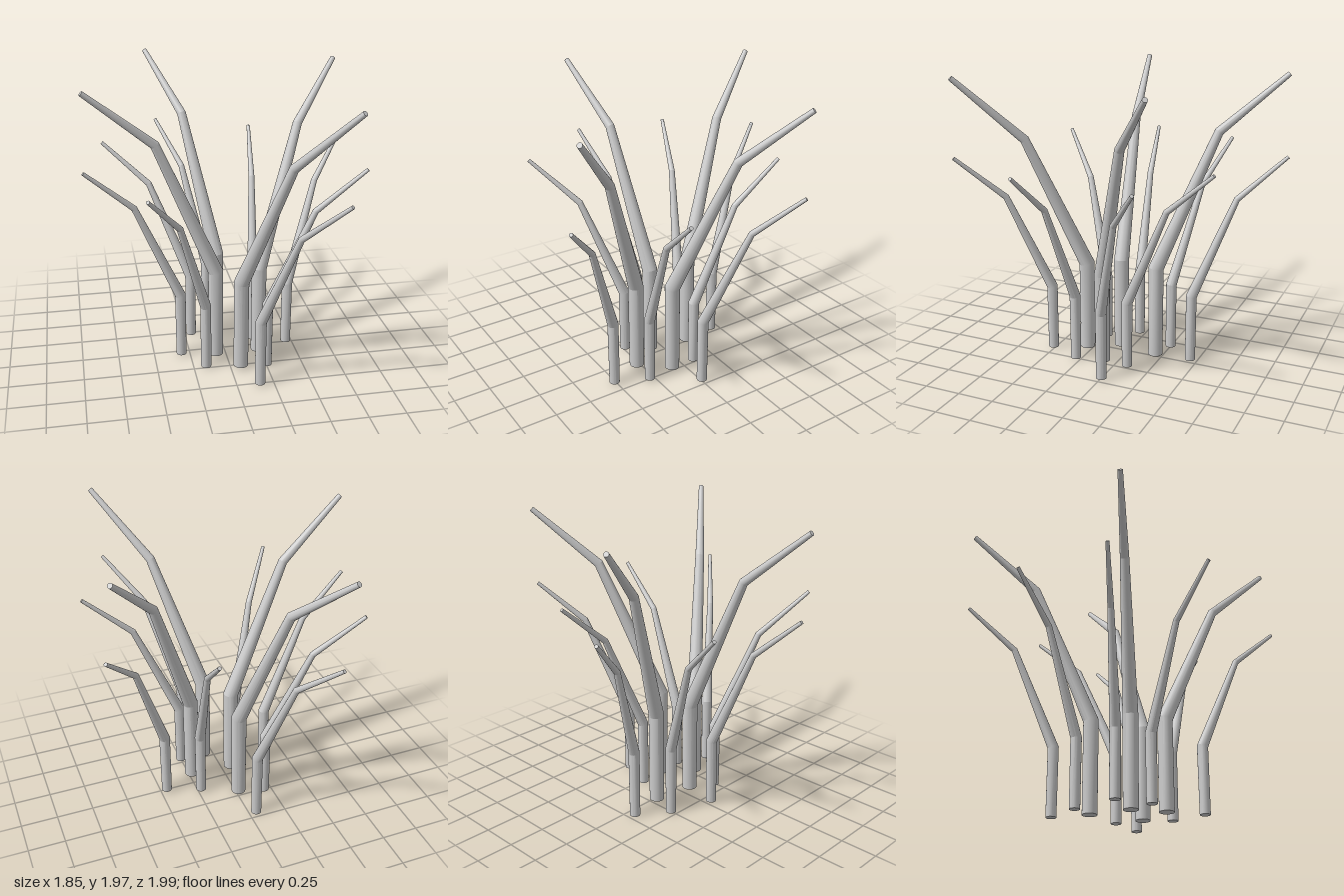
import * as THREE from 'three';
import { toCreasedNormals } from 'three/addons/utils/BufferGeometryUtils.js';

// One stalk: a cylinder bent through four centres with mitred joints
function stalkGeometry(points, radii) {
  const last = points.length - 1;
  const lean = points[last].clone().sub(points[0]).setY(0).normalize();
  const side = new THREE.Vector3(0, 1, 0).cross(lean);
  const dirs = points.slice(1).map((p, i) => p.clone().sub(points[i]).normalize());
  const normals = points.map((_, i) => {
    const tangent = dirs[Math.max(i - 1, 0)].clone().add(dirs[Math.min(i, last - 1)]).normalize();
    return side.clone().cross(tangent);
  });

  const geometry = new THREE.CylinderGeometry(1, 1, 1, 24, last);
  const pos = geometry.attributes.position;
  const v = new THREE.Vector3();
  for (let k = 0; k < pos.count; k++) {
    const x = pos.getX(k), z = pos.getZ(k);
    const ring = Math.round((pos.getY(k) + 0.5) * last);
    v.copy(points[ring])
      .addScaledVector(side, x * radii[ring])
      .addScaledVector(normals[ring], z * radii[ring]);
    pos.setXYZ(k, v.x, v.y, v.z);
  }
  return toCreasedNormals(geometry, 0.33);
}

// Each row: base x, z; upper joint x, y, z; tip x, z; foot height
const TALL = [
  [-0.02, -0.20, -0.20, 1.59, -0.56, -0.41, -0.955, 0.01],
  [0.23, 0.09, 0.54, 1.59, -0.18, 0.86, -0.475, 0.02],
  [-0.07, 0.08, -0.465, 1.59, 0.14, -0.905, 0.22, 0.01],
  [0.07, 0.28, 0.32, 1.54, 0.595, 0.62, 0.935, 0.02],
];
const SHORT = [
  [-0.20, -0.245, -0.465, 1.15, -0.365, -0.77, -0.48, 0],
  [-0.055, -0.445, -0.19, 1.15, -0.70, -0.345, -0.99, 0],
  [0.225, -0.09, 0.27, 1.15, -0.38, 0.31, -0.70, 0.01],
  [0.455, -0.005, 0.68, 1.16, -0.20, 0.91, -0.42, 0.01],
  [0.25, 0.285, 0.54, 1.15, 0.34, 0.86, 0.385, 0.01],
  [0.155, 0.51, 0.34, 1.14, 0.74, 0.565, 0.985, 0.01],
  [-0.165, 0.235, -0.355, 1.14, 0.45, -0.57, 0.705, 0.01],
  [-0.31, 0.04, -0.605, 1.15, 0.085, -0.92, 0.145, 0.01],
];

export function createModel() {
  const model = new THREE.Group();
  model.name = 'stalkCluster';
  const material = new THREE.MeshStandardMaterial({ color: 0xcccccc });

  const addStalks = (name, rows, jointY, tipY, radii) => {
    const group = new THREE.Group();
    group.name = name + 's';
    rows.forEach(([bx, bz, jx, jy, jz, tx, tz, foot], i) => {
      const points = [
        new THREE.Vector3(bx, foot, bz),
        new THREE.Vector3(bx, jointY, bz),
        new THREE.Vector3(jx, jy, jz),
        new THREE.Vector3(tx, tipY, tz),
      ];
      const mesh = new THREE.Mesh(stalkGeometry(points, radii), material);
      mesh.name = name + (i + 1);
      group.add(mesh);
    });
    model.add(group);
  };

  addStalks('tallStalk', TALL, 0.65, 1.96, [0.05, 0.052, 0.031, 0.017]);
  addStalks('shortStalk', SHORT, 0.47, 1.43, [0.035, 0.037, 0.021, 0.012]);
  return model;
}
